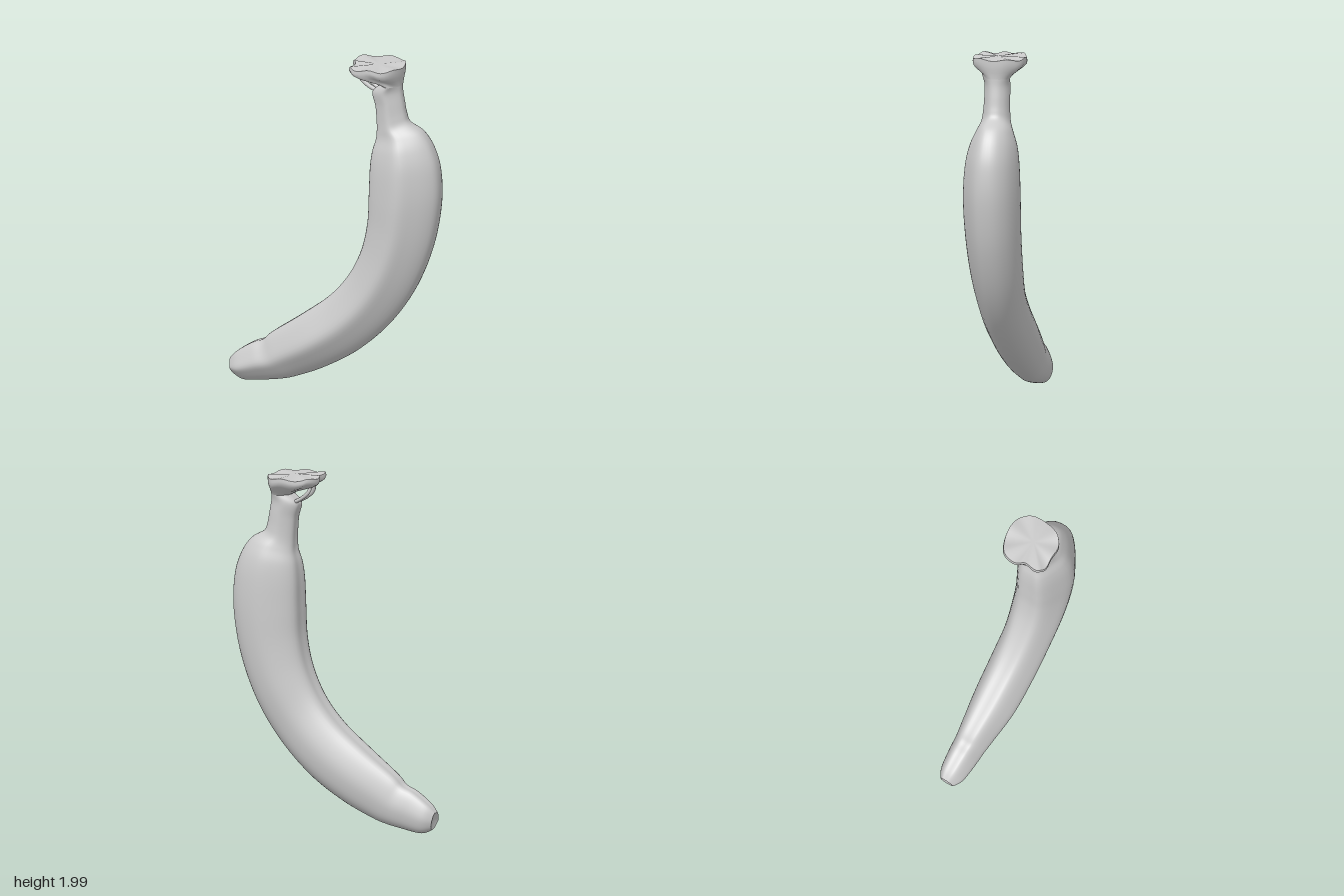
import * as THREE from 'three';

const SIDES = 48;
const STEPS = 110;

// Skin a list of closed rings (each an array of Vector3, counter-clockwise about the path).
function loft(rings) {
  const n = rings[0].length, index = [];
  for (let i = 0; i < rings.length - 1; i++) {
    for (let j = 0; j < n; j++) {
      const k = (j + 1) % n;
      const a = i * n + j, b = i * n + k, c = a + n, d = b + n;
      index.push(a, b, d, a, d, c);
    }
  }
  const geometry = new THREE.BufferGeometry().setFromPoints(rings.flat());
  geometry.setIndex(index);
  geometry.computeVertexNormals();
  return geometry;
}

// Close a ring with a fan around its centre, moved by an offset.
function fan(ring, offset, flip) {
  const centre = ring.reduce((s, p) => s.add(p), new THREE.Vector3()).divideScalar(ring.length).add(offset);
  const index = [];
  ring.forEach((p, j) => {
    const a = j + 1, b = ((j + 1) % ring.length) + 1;
    index.push(0, flip ? b : a, flip ? a : b);
  });
  const geometry = new THREE.BufferGeometry().setFromPoints([centre, ...ring]);
  geometry.setIndex(index);
  geometry.computeVertexNormals();
  return geometry;
}

function closedLoop(points) {
  const curve = new THREE.CatmullRomCurve3(points, true);
  return Array.from({ length: SIDES }, (_, j) => curve.getPoint(j / SIDES));
}

// Ridged cross-section: [inner 0 .. outer 1, back -1 .. front 1].
const section = closedLoop([
  [0, 0], [0.01, 0.45], [0.24, 0.8], [0.5, 1], [0.73, 0.74], [0.95, 0.32],
  [1, 0], [0.95, -0.52], [0.77, -0.87], [0.5, -1], [0.22, -0.8], [0.02, -0.45],
].map(([t, s]) => new THREE.Vector3(t, s, 0)));

// Stations from blossom tip to stem: inner x, y, outer x, y, front z, back z.
const stations = [
  [-0.635, 0.13, -0.615, 0.03, 0.055, -0.03],
  [-0.59, 0.175, -0.55, 0.005, 0.085, -0.06],
  [-0.50, 0.235, -0.43, 0.02, 0.1, -0.075],
  [-0.43, 0.265, -0.33, 0.038, 0.105, -0.083],
  [-0.37, 0.32, -0.24, 0.065, 0.117, -0.093],
  [-0.20, 0.44, -0.06, 0.145, 0.143, -0.117],
  [-0.02, 0.58, 0.14, 0.27, 0.147, -0.13],
  [0.10, 0.72, 0.33, 0.45, 0.148, -0.135],
  [0.18, 0.88, 0.48, 0.67, 0.155, -0.152],
  [0.22, 1.05, 0.585, 0.93, 0.162, -0.162],
  [0.23, 1.22, 0.633, 1.19, 0.166, -0.166],
  [0.235, 1.38, 0.628, 1.39, 0.155, -0.16],
  [0.245, 1.48, 0.59, 1.52, 0.132, -0.145],
  [0.262, 1.55, 0.53, 1.61, 0.1, -0.118],
  [0.265, 1.60, 0.45, 1.66, 0.083, -0.092],
  [0.263, 1.66, 0.428, 1.71, 0.075, -0.083],
  [0.255, 1.75, 0.415, 1.78, 0.071, -0.079],
  [0.237, 1.83, 0.405, 1.84, 0.073, -0.077],
  [0.285, 1.88, 0.402, 1.88, 0.077, -0.08],
];
const spline = (k) => new THREE.SplineCurve(stations.map((s) => new THREE.Vector2(s[k], s[k + 1])));

function bodyRings() {
  const inner = spline(0), outer = spline(2), width = spline(4);
  return Array.from({ length: STEPS + 1 }, (_, i) => {
    const u = i / STEPS;
    const a = inner.getPoint(u), b = outer.getPoint(u), w = width.getPoint(u);
    return section.map(({ x: t, y: s }) => new THREE.Vector3(
      a.x + (b.x - a.x) * t, a.y + (b.y - a.y) * t, s > 0 ? s * w.x : -s * w.y));
  });
}

// Torn outline of the stem's cut end: x, z.
const rim = closedLoop([
  [0.105, 0], [0.135, 0.04], [0.13, 0.12], [0.165, 0.152], [0.24, 0.148], [0.32, 0.145],
  [0.38, 0.1], [0.408, 0.01], [0.398, -0.08], [0.35, -0.14], [0.27, -0.155], [0.18, -0.135], [0.115, -0.09],
].map(([x, z]) => new THREE.Vector3(x, 0, z)));

export function createModel() {
  const group = new THREE.Group();
  const material = new THREE.MeshStandardMaterial({ color: 0xcccccc, side: THREE.DoubleSide });
  const add = (name, geometry) => {
    const mesh = new THREE.Mesh(geometry, material);
    mesh.name = name;
    group.add(mesh);
  };

  // Curved fruit, running into the narrow stem
  const body = bodyRings();
  add('fruitAndStem', loft(body));

  // Slightly sunken blossom tip
  add('blossomTip', fan(body[0], new THREE.Vector3(0.012, 0.004, 0), true));

  // Flared stem end: neck ring spreading out to the torn rim
  const neck = body[STEPS];
  const flare = [[0, 1.88], [0.2, 1.9], [0.5, 1.918], [0.8, 1.938], [0.96, 1.955], [1, 1.972], [0.97, 1.99]]
    .map(([f, y]) => rim.map((p, j) => {
      const wave = f * 0.006 * Math.sin(j * 0.9);
      const lift = f * (p.x < 0.15 ? 0.004 : 0);
      return new THREE.Vector3(
        THREE.MathUtils.lerp(neck[j].x, p.x, f), Math.min(y + wave + lift, 1.998),
        THREE.MathUtils.lerp(neck[j].z, p.z, f));
    }));
  add('stemFlare', loft(flare));
  add('stemCutFace', fan(flare[flare.length - 1], new THREE.Vector3(0.02, 0.004, 0), false));

  // Loose strands of peel bridging the gap under the flare
  for (const [z, r] of [[0.015, 0.013], [-0.02, 0.011]]) {
    const path = new THREE.CatmullRomCurve3([
      [0.29, 1.82, z], [0.245, 1.845, z * 1.3], [0.2, 1.872, z * 1.6], [0.165, 1.905, z * 1.6], [0.15, 1.95, z],
    ].map((p) => new THREE.Vector3(...p)));
    add('peelStrand', new THREE.TubeGeometry(path, 20, r, 8));
  }

  return group;
}
